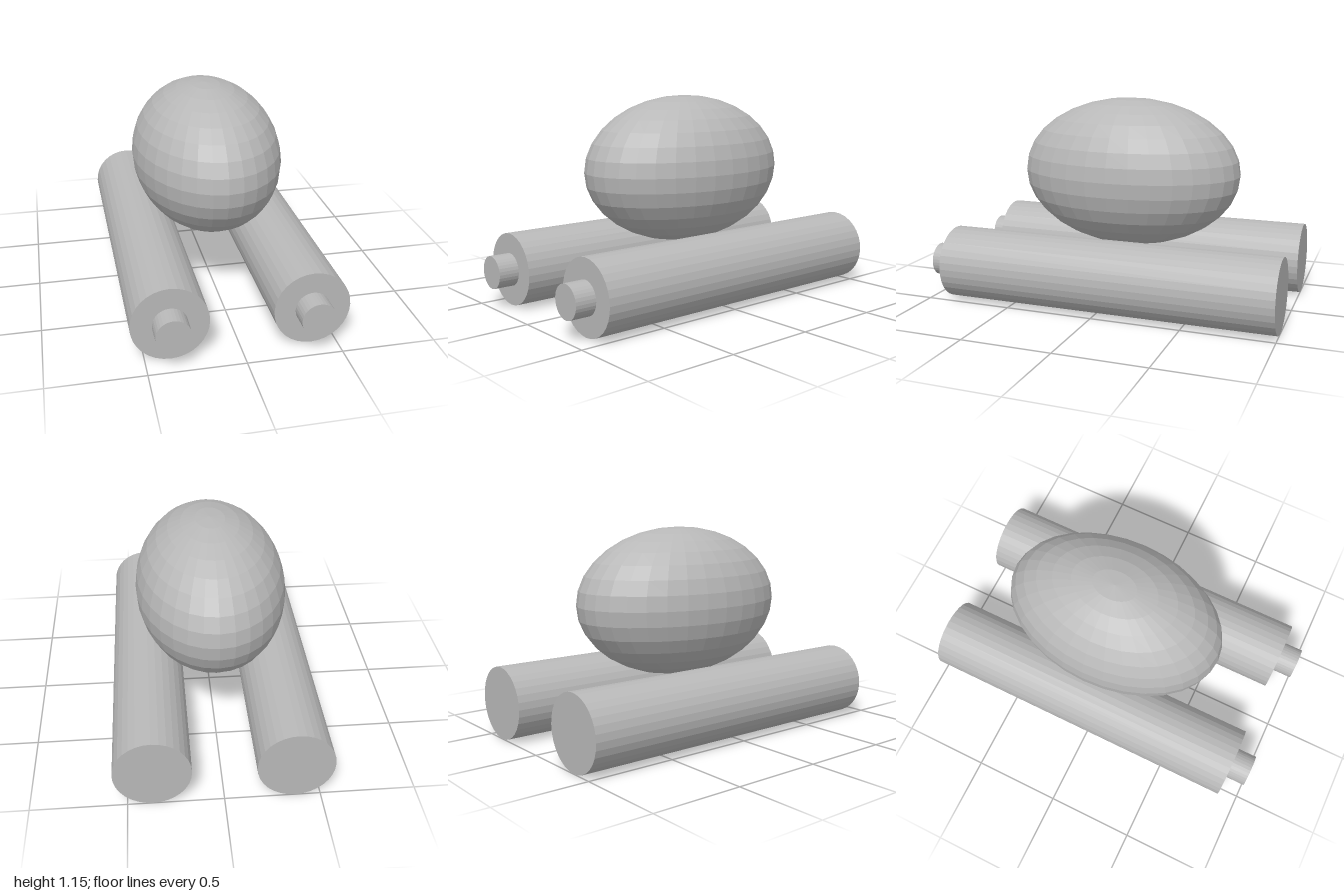
import * as THREE from 'three';

export function createModel() {
  const model = new THREE.Group();
  const grey = new THREE.MeshStandardMaterial({ color: 0xb8b8b8, flatShading: true });
  grey.name = 'grey';

  // faceted egg-shaped body, stretched front to back
  const body = new THREE.Mesh(new THREE.SphereGeometry(1, 32, 16), grey);
  body.name = 'body';
  body.scale.set(0.418, 0.418, 0.632);
  body.position.set(0, 0.73, -0.057);
  model.add(body);

  // cylinder lying along z between two depths
  function rod(name, radius, back, front) {
    const geometry = new THREE.CylinderGeometry(radius, radius, front - back, 32);
    geometry.rotateX(Math.PI / 2);
    const mesh = new THREE.Mesh(geometry, grey);
    mesh.name = name;
    mesh.position.z = (front + back) / 2;
    return mesh;
  }

  // a long tube with a short nozzle on each side
  for (const side of [-1, 1]) {
    const tube = new THREE.Group();
    tube.name = side > 0 ? 'leftTube' : 'rightTube';
    tube.position.set(side * 0.368, 0.202, 0);
    tube.add(rod('tubeBarrel', 0.202, -1, 0.885), rod('tubeNozzle', 0.091, 0.885, 1));
    model.add(tube);
  }
  return model;
}
